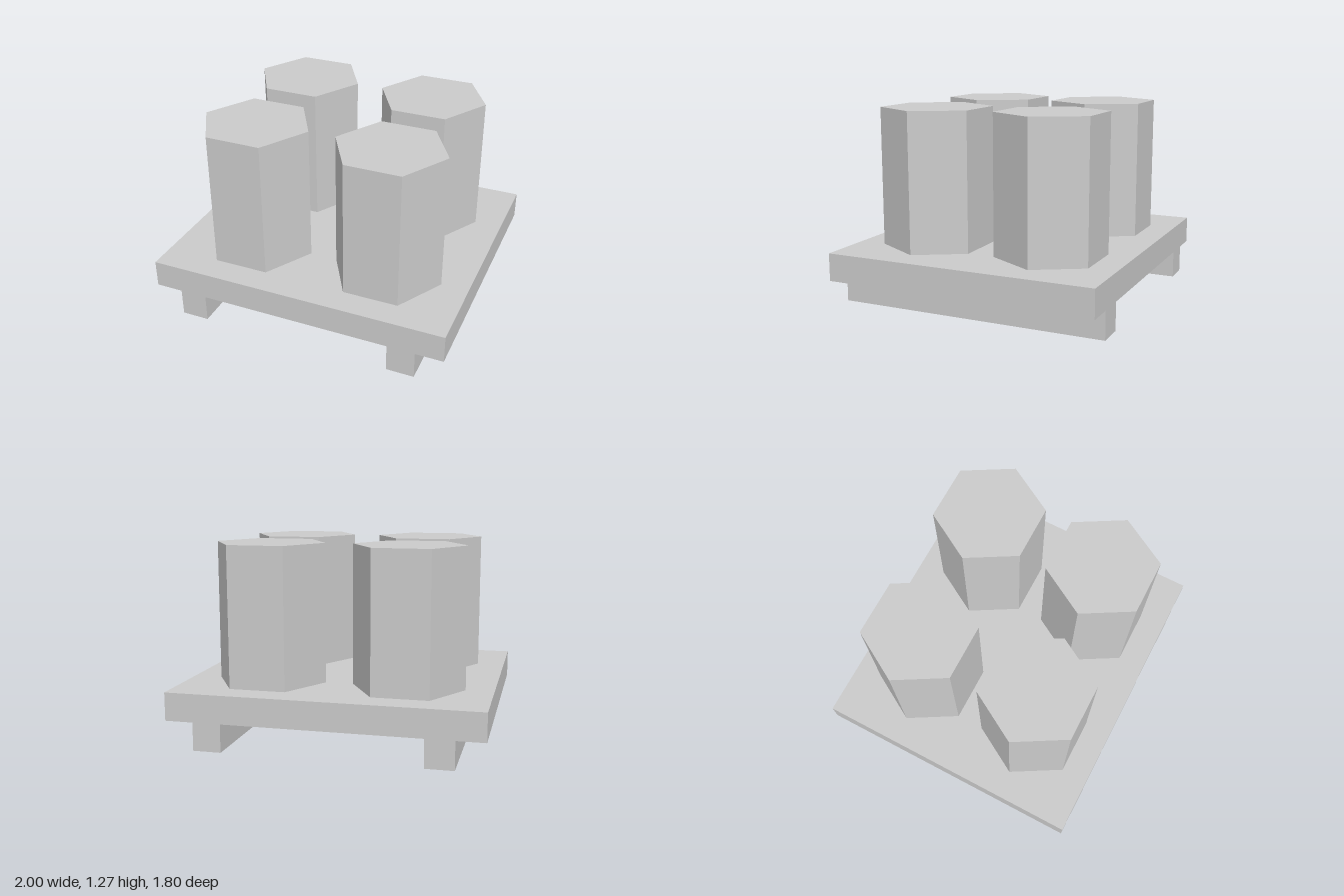
import * as THREE from 'three';

export function createModel() {
  const group = new THREE.Group();
  const material = new THREE.MeshStandardMaterial({ color: 0xcccccc, flatShading: true });

  const add = (name, geometry, x, y, z) => {
    const mesh = new THREE.Mesh(geometry, material);
    mesh.name = name;
    mesh.position.set(x, y, z);
    group.add(mesh);
  };

  const railHeight = 0.182, plateTop = 0.364, top = 1.273, depth = 1.8;

  // Flat base plate
  add('plate', new THREE.BoxGeometry(2, plateTop - railHeight, depth), 0, (railHeight + plateTop) / 2, 0);

  // Two rails running front to back under the plate
  const rail = new THREE.BoxGeometry(0.182, railHeight, depth);
  // Hexagonal post with corners pointing along x
  const post = new THREE.CylinderGeometry(0.364, 0.364, top - plateTop, 6, 1, false, Math.PI / 6);

  for (const [side, sx] of [['left', 1], ['right', -1]]) {
    add(`${side}Rail`, rail, sx * 0.727, railHeight / 2, 0);
    for (const [end, sz] of [['Front', 1], ['Back', -1]]) {
      add(`${side}${end}Post`, post, sx * 0.455, (plateTop + top) / 2, sz * 0.406);
    }
  }
  return group;
}
